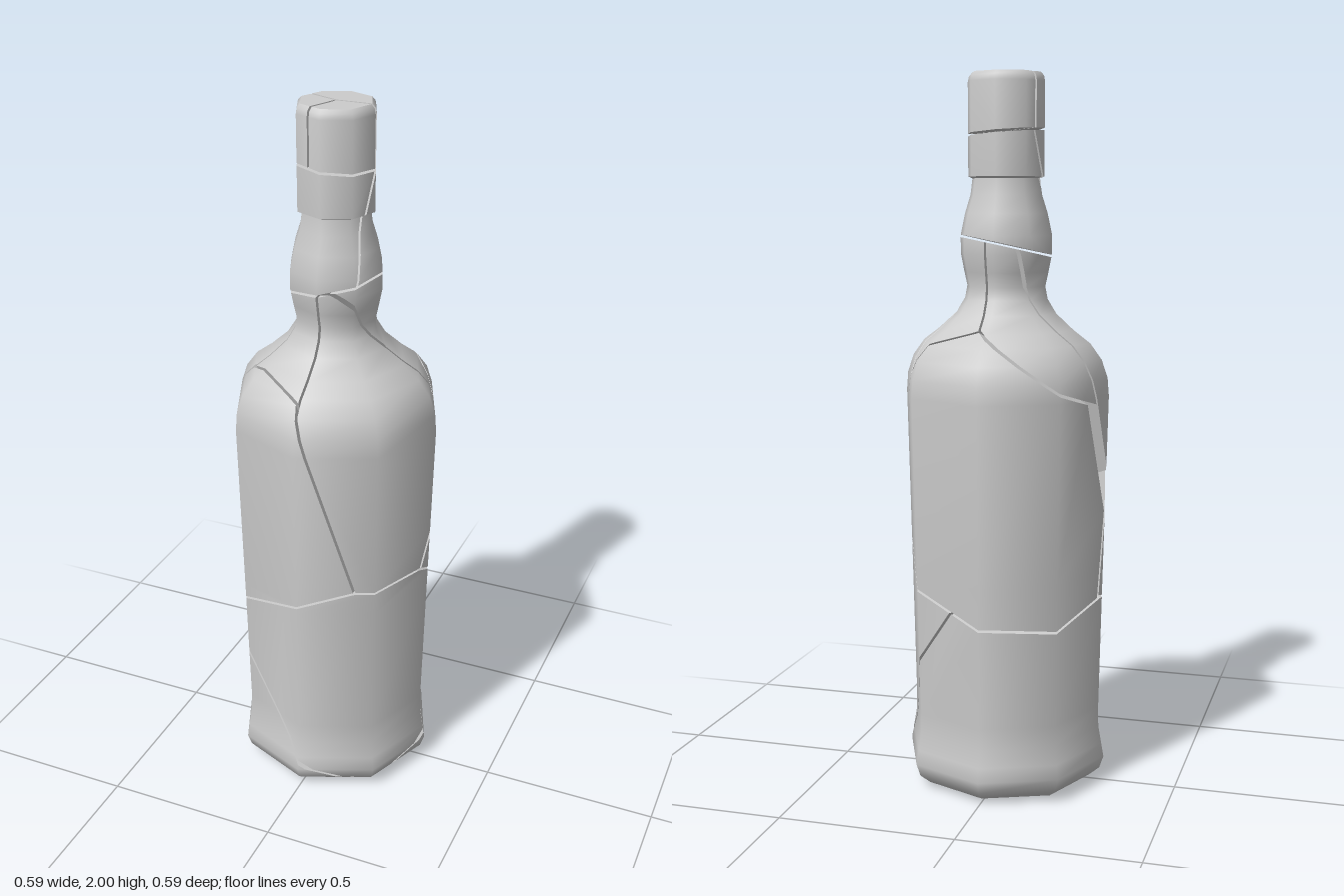
import * as THREE from 'three';

const SIDES = 8;
const GAP = 0.0035; // half the width of a crack

// Bottle outline: radius, height
const PROFILE = [
  [0.2, 0], [0.25, 0.01], [0.28, 0.035], [0.292, 0.07], [0.285, 0.11], [0.276, 0.16], [0.275, 0.22],
  [0.284, 0.62], [0.296, 1.12], [0.292, 1.17], [0.275, 1.22], [0.242, 1.265], [0.195, 1.3],
  [0.145, 1.345], [0.12, 1.385], [0.113, 1.42], [0.122, 1.46], [0.132, 1.51], [0.132, 1.56],
  [0.119, 1.62], [0.103, 1.67], [0.097, 1.715], [0.109, 1.72], [0.11, 1.975], [0.107, 1.99], [0.098, 2],
].map(([r, y]) => new THREE.Vector2(r, y));

// Cut planes [a, b, c, d]: the kept side is a*x + b*y + c*z + d > 0
const yOver = (d, x, z) => [-x, 1, -z, -d]; // y > d + x*X + z*Z
const zOver = (d, x, y) => [-x, -y, 1, -d]; // z > d + x*X + y*Y
const xOver = (d, y) => [1, -y, 0, -d];
const not = (p) => p.map((v) => -v);

const beltFlat = yOver(0.69, 0, 0);
const beltFront = yOver(0.64, 0.33, 0);
const beltBack = yOver(0.614, 0.23, 0.4);
const baseCut = yOver(0.38, -1, -1);
const neckCut = yOver(1.53, 0.2, -0.1);
const capCut = yOver(1.84, -0.07, 0);
const neckSplit = zOver(0.547, 0.2, -0.31);
const frontLow = xOver(0.342, -0.278);
const frontHigh = xOver(0, 0);
const rightLow = zOver(0.227, 0, -0.286);
const rightHigh = zOver(-0.889, 0, 0.66);
const frontArc = zOver(-0.3135, 0.8, 0.45);
const leftSeam = zOver(0.063, 0.5, 0.1);
const leftRay = zOver(0, -0.45, 0);
const wedgeBack = zOver(0.37, 0.33, -0.3);
const backRight = zOver(0.91, -0.167, -0.83);
const backLeft = yOver(1.29, 0.7, 0);
const backSplit = xOver(0.025, 0);
const capRay1 = [0, 0, 1, 0];
const capRay2 = [0.93, 0, 0.37, 0];
const capRay3 = [-0.37, 0, 0.93, 0];

const belowBelt = [not(beltFlat), not(beltFront), not(beltBack)];
const neck = [neckCut, not(capCut)];

const SHARDS = {
  baseShard: [...belowBelt, not(baseCut)],
  lowerFrontShard: [...belowBelt, baseCut],
  rightBodyShard: [beltFlat, frontLow, frontHigh, rightLow, rightHigh, not(neckCut)],
  leftBodyShard: [beltFront, not(frontLow), frontArc, leftSeam],
  backBodyShard: [beltBack, not(rightLow), not(leftSeam), not(wedgeBack), not(backRight), not(backLeft)],
  frontShoulderShard: [not(frontHigh), not(frontArc), leftRay, not(neckCut)],
  leftShoulderShard: [wedgeBack, not(leftSeam), not(leftRay), not(neckCut)],
  rightShoulderShard: [not(rightHigh), backRight, backSplit, not(neckCut)],
  backShoulderShard: [backLeft, not(backSplit), not(wedgeBack), not(neckCut)],
  frontNeckShard: [...neck, neckSplit],
  backNeckShard: [...neck, not(neckSplit)],
  capShardRight: [capCut, capRay1, capRay2],
  capShardLeft: [capCut, not(capRay2), capRay3],
  capShardBack: [capCut, not(capRay1), not(capRay3)],
};

// Outline normal of one segment, in (radius, height)
function segmentNormal(i) {
  const d = PROFILE[i + 1].clone().sub(PROFILE[i]).normalize();
  return new THREE.Vector2(d.y, -d.x);
}

// Normal at one end of a segment, smoothed across gentle bends only
function endNormal(i, other) {
  const n = segmentNormal(i);
  if (other < 0 || other > PROFILE.length - 2) return n;
  const m = segmentNormal(other);
  return n.dot(m) > 0.55 ? n.add(m).normalize() : n;
}

// One convex slice of the bottle as a list of faces; inner discs are hidden
function makeSlice(i) {
  const ring = (row, n) => Array.from({ length: SIDES }, (_, k) => {
    const t = (k / SIDES) * Math.PI * 2, s = Math.sin(t), c = Math.cos(t), { x: r, y } = PROFILE[row];
    return { p: new THREE.Vector3(r * s, y, r * c), n: new THREE.Vector3(n.x * s, n.y, n.x * c) };
  });
  const low = ring(i, endNormal(i, i - 1)), high = ring(i + 1, endNormal(i, i + 1));
  const flat = (pts, y) => pts.map(({ p }) => ({ p, n: new THREE.Vector3(0, y, 0) }));
  const faces = low.map((v, k) => {
    const j = (k + 1) % SIDES;
    return { pts: [v, low[j], high[j], high[k]], show: true };
  });
  faces.push({ pts: flat(low, -1).reverse(), show: i === 0 });
  faces.push({ pts: flat(high, 1), show: i === PROFILE.length - 2 });
  return faces;
}

// Cut a convex solid by a plane and close the cut
function clip(faces, [a, b, c, d]) {
  const normal = new THREE.Vector3(a, b, c), len = normal.length();
  normal.divideScalar(len);
  const dist = (v) => normal.dot(v.p) + d / len - GAP;
  const cut = [], result = [];
  for (const { pts, show } of faces) {
    const kept = [];
    pts.forEach((v, k) => {
      const w = pts[(k + 1) % pts.length], dv = dist(v), dw = dist(w);
      if (dv >= 0) kept.push(v);
      if ((dv >= 0) !== (dw >= 0)) {
        const t = dv / (dv - dw);
        const p = v.p.clone().lerp(w.p, t);
        kept.push({ p, n: v.n.clone().lerp(w.n, t).normalize() });
        cut.push(p);
      }
    });
    if (kept.length > 2) result.push({ pts: kept, show });
  }
  if (cut.length > 2) {
    const out = normal.clone().negate();
    const mid = cut.reduce((m, p) => m.add(p), new THREE.Vector3()).divideScalar(cut.length);
    const axis = Math.abs(out.y) < 0.8 ? new THREE.Vector3(0, 1, 0) : new THREE.Vector3(1, 0, 0);
    const u = axis.cross(out).normalize(), v = out.clone().cross(u);
    const angle = (p) => Math.atan2(p.clone().sub(mid).dot(v), p.clone().sub(mid).dot(u));
    cut.sort((p, q) => angle(p) - angle(q));
    result.push({ pts: cut.map((p) => ({ p, n: out })), show: true });
  }
  return result;
}

// A shard is every slice trimmed by the shard's planes
function shardGeometry(planes) {
  const positions = [], normals = [];
  for (let i = 0; i < PROFILE.length - 1; i++) {
    for (const { pts, show } of planes.reduce(clip, makeSlice(i))) {
      if (!show) continue;
      for (let k = 1; k < pts.length - 1; k++) {
        for (const v of [pts[0], pts[k], pts[k + 1]]) {
          positions.push(v.p.x, v.p.y, v.p.z);
          normals.push(v.n.x, v.n.y, v.n.z);
        }
      }
    }
  }
  const geometry = new THREE.BufferGeometry();
  geometry.setAttribute('position', new THREE.Float32BufferAttribute(positions, 3));
  geometry.setAttribute('normal', new THREE.Float32BufferAttribute(normals, 3));
  return geometry;
}

export function createModel() {
  const bottle = new THREE.Group();
  bottle.name = 'crackedBottle';
  const material = new THREE.MeshStandardMaterial({ color: 0xcccccc });
  for (const [name, planes] of Object.entries(SHARDS)) {
    const shard = new THREE.Mesh(shardGeometry(planes), material);
    shard.name = name;
    bottle.add(shard);
  }
  return bottle;
}
